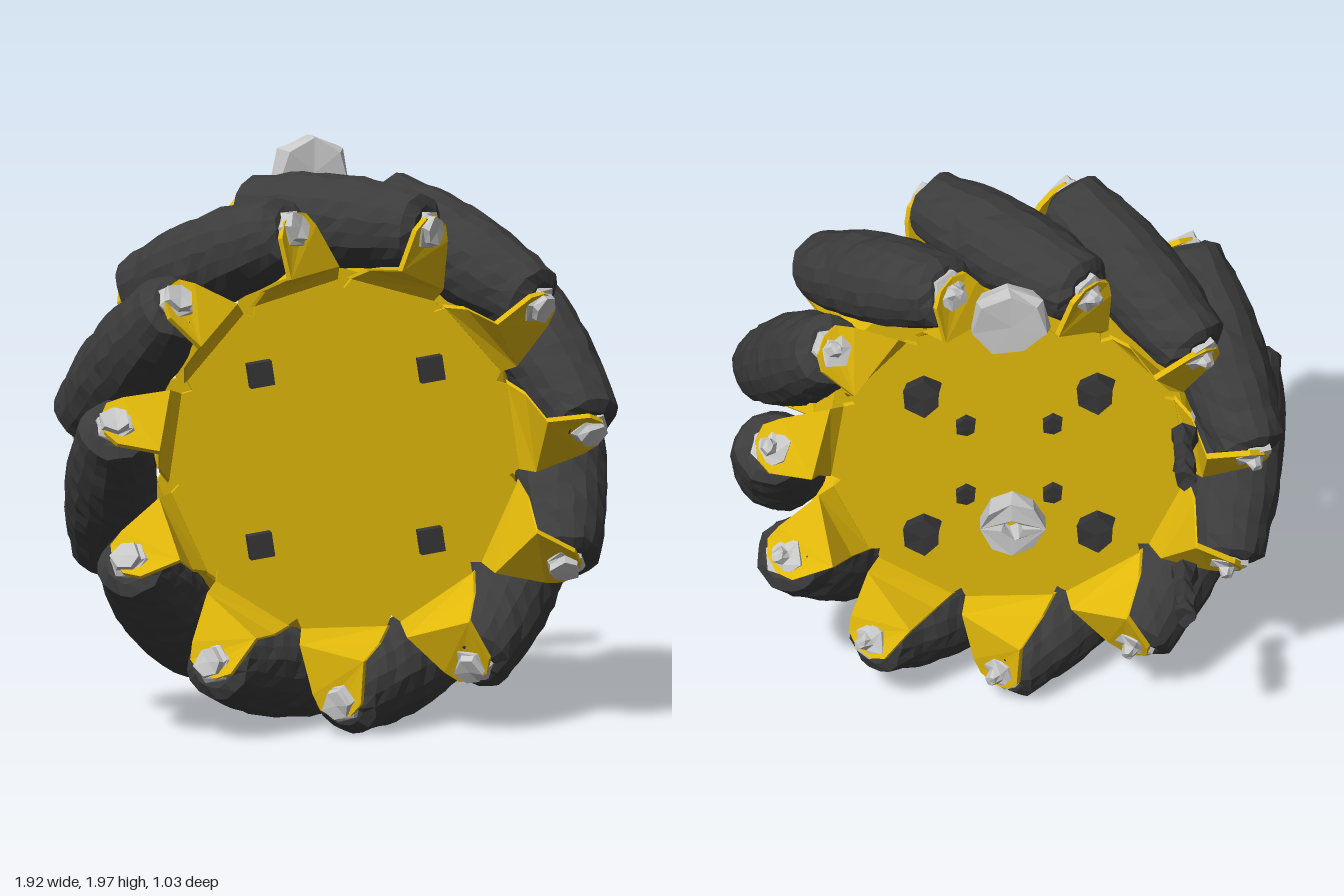
import * as THREE from 'three';

const COUNT = 11, STEP = (Math.PI * 2) / COUNT;
const CY = 0.97, CZ = 0.16;          // wheel centre
const AXIS_R = 0.8;                  // roller axis distance from the wheel centre
const PLATE_Z = 0.15;                // outer plate face from the wheel middle

const material = (name, color, extra = {}) => {
  const m = new THREE.MeshStandardMaterial({ color, flatShading: true, ...extra });
  m.name = name;
  return m;
};

function add(parent, name, geometry, mat, x = 0, y = 0, z = 0) {
  const mesh = new THREE.Mesh(geometry, mat);
  mesh.name = name;
  mesh.position.set(x, y, z);
  parent.add(mesh);
  return mesh;
}

// Repeatable dents: points that coincide are always moved alike
function dent(geometry, amount) {
  const p = geometry.attributes.position;
  for (let i = 0; i < p.count; i++) {
    const v = [p.getX(i), p.getY(i), p.getZ(i)].map(c => Math.round(c * 1000));
    const noise = k => {
      const s = Math.sin(v[0] * 12.99 + v[1] * 78.23 + v[2] * 37.72 + k * 11.3) * 43758.5;
      return (s - Math.floor(s) - 0.5) * 2 * amount;
    };
    p.setXYZ(i, p.getX(i) + noise(1), p.getY(i) + noise(2), p.getZ(i) + noise(3));
  }
  geometry.computeVertexNormals();
  return geometry;
}

const lathe = (points, sides) =>
  new THREE.LatheGeometry(points.map(([r, y]) => new THREE.Vector2(r, y)), sides);

// Cylinder lying along z
const disc = (r, depth, sides) =>
  new THREE.CylinderGeometry(r, r, depth, sides).rotateX(-Math.PI / 2);

// Barrel whose outer line follows the wheel's rolling circle
function rollerGeometry() {
  const half = 0.375, rows = 14, points = [[0, -half], [0.085, -half]];
  for (let i = 0; i <= rows; i++) {
    const t = (i / rows - 0.5) * 2 * (half - 0.025);
    points.push([0.96 - Math.hypot(AXIS_R, t * Math.SQRT1_2), t]);
  }
  points.push([0.085, half], [0, half]);
  return dent(lathe(points, 18), 0.006);
}

// Eleven-sided plate with a relief notch at each corner
function plateGeometry() {
  const points = [];
  for (let i = 0; i < COUNT; i++) {
    const a = Math.PI / 2 + i * STEP;
    for (const [turn, r] of [[-0.04, 0.618], [0, 0.587], [0.04, 0.618]]) {
      points.push(new THREE.Vector2(Math.cos(a + turn) * r, Math.sin(a + turn) * r));
    }
  }
  return new THREE.ExtrudeGeometry(new THREE.Shape(points), { depth: 0.02, bevelEnabled: false });
}

// Folded sheet tab: a sloping flange and a tip square to the roller axis.
// Points are radius, sideways offset and optional height from the wheel middle.
function tabGeometry() {
  const top = [
    [0.6, 0.152, PLATE_Z], [0.6, -0.152, PLATE_Z], [0.65, -0.165, 0.19], [0.82, -0.125],
    [0.875, -0.1], [0.897, -0.055], [0.885, -0.01], [0.84, 0.02], [0.69, 0.03], [0.65, 0.11, 0.21],
  ].map(([r, s, z]) =>
    [r, s, z ?? Math.min(0.345, 0.285 + 0.96 * (s + 0.048) - 0.282 * (r - 0.849))]);
  const n = top.length;
  const under = top.map(([r, s, z]) => [r, s + 0.013, z - 0.015]);
  const upper = [0, 1, 2, 0, 2, 9, 9, 2, 8];
  for (let i = 2; i < 7; i++) upper.push(8, i, i + 1);
  const faces = [...upper, ...upper.map(i => i + n).reverse()];
  for (let i = 0; i < n; i++) {
    const j = (i + 1) % n;
    faces.push(i, i + n, j + n, i, j + n, j);
  }
  const g = new THREE.BufferGeometry();
  g.setAttribute('position', new THREE.Float32BufferAttribute([...top, ...under].flat(), 3));
  g.setIndex(faces);
  g.computeVertexNormals();
  return g;
}

export function createModel() {
  const yellow = material('yellow metal', 0xe2b90a, { side: THREE.DoubleSide });
  const rubber = material('dark rubber', 0x3c3c3c);
  const steel = material('bright steel', 0xc8c8c8);
  const black = material('black steel', 0x363636);

  const model = new THREE.Group();
  model.name = 'rollerWheel';
  const wheel = new THREE.Group();
  wheel.name = 'wheel';
  wheel.position.set(0, CY, CZ);
  model.add(wheel);

  // Two identical side plates, the rear one turned about the vertical
  const plate = plateGeometry(), tab = tabGeometry();
  for (const [name, turn] of [['frontSide', 0], ['rearSide', Math.PI]]) {
    const side = new THREE.Group();
    side.name = name;
    side.rotation.y = turn;
    wheel.add(side);
    add(side, 'sidePlate', plate, yellow, 0, 0, PLATE_Z - 0.02);
    for (let i = 0; i < COUNT; i++) {
      add(side, 'rollerTab', tab, yellow).rotation.z = Math.PI / 2 + (i + 0.5) * STEP;
    }
  }

  // Slanted rollers on axles with bushings, a wide head in front and a thin end behind
  const roller = rollerGeometry();
  const axle = dent(lathe([
    [0, -0.435], [0.022, -0.432], [0.032, -0.4], [0.072, -0.39], [0.072, -0.37],
    [0.072, 0.37], [0.072, 0.39], [0.056, 0.395], [0.053, 0.42], [0, 0.423],
  ], 6), 0.006);
  const up = new THREE.Vector3(0, 1, 0);
  for (let i = 0; i < COUNT; i++) {
    const a = Math.PI / 2 + i * STEP, c = Math.cos(a), s = Math.sin(a);
    const unit = new THREE.Group();
    unit.name = 'rollerUnit';
    unit.position.set(c * AXIS_R, s * AXIS_R, 0);
    unit.quaternion.setFromUnitVectors(up, new THREE.Vector3(s, -c, 1).normalize());
    wheel.add(unit);
    add(unit, 'roller', roller, rubber);
    add(unit, 'axle', axle, steel);
  }

  // Bolt ends on the front, nuts and small screws on the back
  const boltEnd = new THREE.BoxGeometry(0.085, 0.085, 0.06);
  const nut = dent(disc(0.07, 0.06, 6), 0.009);
  const smallScrew = dent(disc(0.038, 0.04, 6), 0.005);
  for (const x of [-1, 1]) for (const y of [-1, 1]) {
    add(wheel, 'boltEnd', boltEnd, black, x * 0.3, y * 0.3, 0.167).rotation.z = 0.15;
    add(wheel, 'nut', nut, black, x * 0.3, y * 0.3, -0.178);
    add(wheel, 'smallScrew', smallScrew, black, x * 0.15, y * 0.15, -0.155);
  }

  // Loose hub parts behind the wheel
  const hub = lathe([
    [0, -0.04], [0.118, -0.048], [0.138, 0], [0.124, 0.046], [0, 0.04],
  ], 7).rotateX(-Math.PI / 2);
  add(model, 'looseHub', dent(hub, 0.01), steel, 0.01, 1.858, -0.36);
  const ringShape = new THREE.Shape();
  ringShape.absarc(0, 0, 0.112, 0, Math.PI * 2, false);
  const bore = new THREE.Path();
  bore.absarc(0, 0, 0.035, 0, Math.PI * 2, true);
  ringShape.holes.push(bore);
  const ring = new THREE.ExtrudeGeometry(ringShape, { depth: 0.08, bevelEnabled: false, curveSegments: 4 });
  add(model, 'looseCollar', dent(ring, 0.008), steel, 0, 0.97, -0.405);

  // Loose screws behind the wheel
  const screw = dent(lathe([
    [0, -0.13], [0.04, -0.13], [0.042, -0.1], [0.03, -0.075], [0.044, -0.05],
    [0.036, 0.01], [0.034, 0.05], [0.045, 0.09], [0.052, 0.128], [0, 0.128],
  ], 6).rotateX(Math.PI / 2), 0.008);
  for (const y of [0.67, 1.265]) add(model, 'looseScrew', screw, black, -0.595, y, -0.39);

  return model;
}
